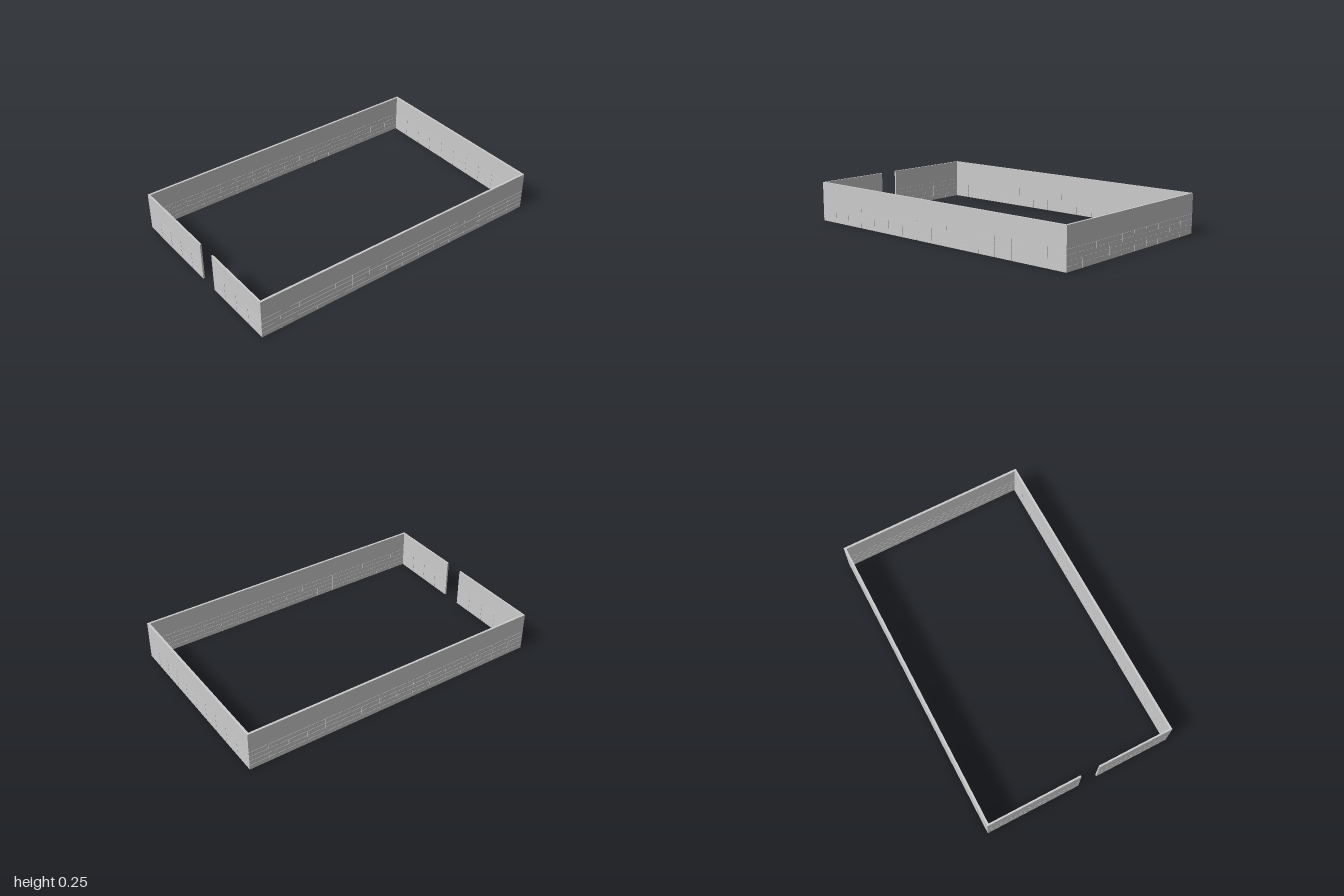
import * as THREE from 'three';
import { mergeGeometries } from 'three/addons/utils/BufferGeometryUtils.js';

const X = 1, Z = 0.623;          // outer half sizes
const H = 0.253, BAND = 0.126;   // full height, height of the blockwork
const T = 0.014, INSET = 0.0015; // wall thickness, joint depth
const ROWS = 4, JOINT = 0.002, BLOCK = 0.125;

const material = new THREE.MeshStandardMaterial({ color: 0xcccccc, flatShading: true });

function box(w, h, d, x, y, z) {
  return new THREE.BoxGeometry(w, h, d).translate(x, y, z);
}

// A straight wall along its local x: smooth panel above, jointed blocks below
function makeWall(name, length, thickness) {
  const wall = new THREE.Group();
  wall.name = name;
  const add = (part, geometry) => {
    const mesh = new THREE.Mesh(geometry, material);
    mesh.name = part;
    wall.add(mesh);
  };
  add('upperPanel', box(length, H - BAND, thickness, 0, (H + BAND) / 2, 0));
  add('lowerCore', box(length - 2 * INSET, BAND, thickness - 2 * INSET, 0, BAND / 2, 0));

  // Courses of blocks show on both faces, with narrow joints between them
  const blocks = [];
  const count = Math.max(1, Math.round(length / BLOCK));
  const step = length / count, rowHeight = BAND / ROWS;
  for (let r = 0; r < ROWS; r++) {
    for (let i = 0; i < count; i++) {
      const left = i === 0 ? 0 : JOINT / 2;
      const right = i === count - 1 ? 0 : JOINT / 2;
      blocks.push(box(step - left - right, rowHeight - JOINT, thickness,
        -length / 2 + (i + 0.5) * step + (left - right) / 2, (r + 0.5) * rowHeight - JOINT / 2, 0));
    }
  }
  add('blockCourses', mergeGeometries(blocks));
  return wall;
}

export function createModel() {
  const model = new THREE.Group();
  model.name = 'walledEnclosure';

  // Long front and back walls
  for (const [name, side] of [['frontWall', 1], ['backWall', -1]]) {
    const wall = makeWall(name, 2 * X, T);
    wall.position.z = side * (Z - T / 2);
    model.add(wall);
  }

  // End walls: a closed one on the left, two lengths beside the gateway on the right
  const inner = Z - T;
  const ends = [
    ['leftWall', 1, -inner, inner, T],
    ['rightWallBack', -1, -inner, 0, 0.011],
    ['rightWallFront', -1, 0.125, inner, 0.011],
  ];
  for (const [name, side, z0, z1, thickness] of ends) {
    const wall = makeWall(name, z1 - z0, thickness);
    wall.rotation.y = Math.PI / 2;
    wall.position.set(side * (X - thickness / 2), 0, (z0 + z1) / 2);
    model.add(wall);
  }
  return model;
}
